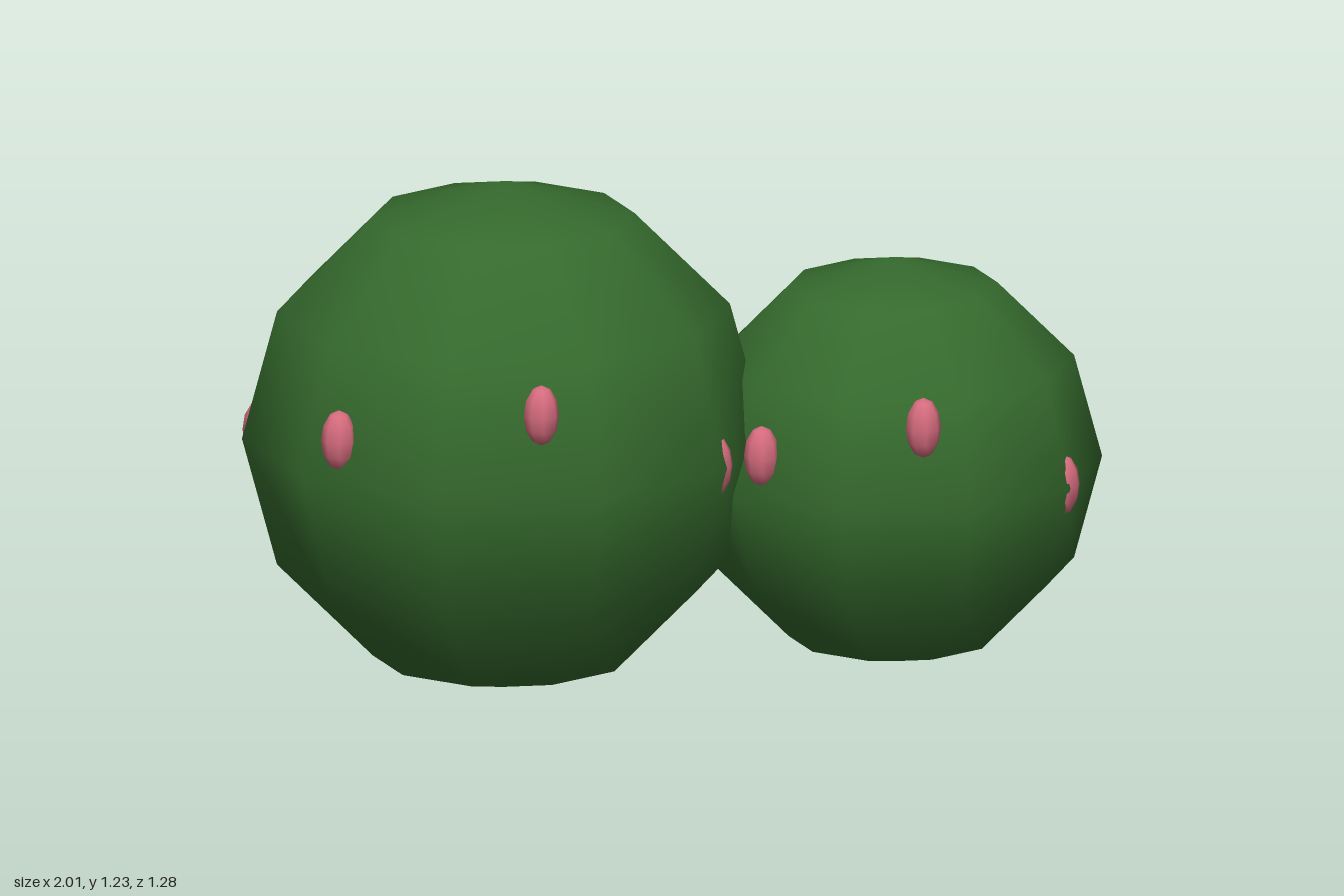
import * as THREE from 'three';

const green = new THREE.MeshStandardMaterial({ color: 0x356a2d });
green.name = 'cactus green';
const pink = new THREE.MeshStandardMaterial({ color: 0xd66c7e });
pink.name = 'blossom pink';

const BUDS = 7;

// One round lobe with a ring of buds stepping up in threes
function makeLobe(name, radius, x, y, z) {
  const lobe = new THREE.Group();
  lobe.name = name;
  lobe.position.set(x, y, z);

  const body = new THREE.Mesh(new THREE.SphereGeometry(radius, 10, 6), green);
  body.name = name + 'Body';
  body.rotation.y = Math.PI / 2; // corners point to front and back
  lobe.add(body);

  const budGeometry = new THREE.SphereGeometry(0.042, 8, 6);
  budGeometry.scale(1, 1.74, 1);
  const ring = radius * 0.93;
  for (let i = 0; i < BUDS; i++) {
    const angle = (i / BUDS) * Math.PI * 2;
    const bud = new THREE.Mesh(budGeometry, pink);
    bud.name = name + 'Bud' + (i + 1);
    bud.position.set(Math.cos(angle) * ring, (i % 3) * 0.1, -Math.sin(angle) * ring);
    bud.rotation.y = angle;
    lobe.add(bud);
  }
  return lobe;
}

export function createModel() {
  const model = new THREE.Group();
  model.name = 'roundCactus';
  model.add(
    makeLobe('largeLobe', 0.617, -0.413, 0.622, -0.027),
    makeLobe('smallLobe', 0.493, 0.505, 0.512, 0.148),
  );
  return model;
}
